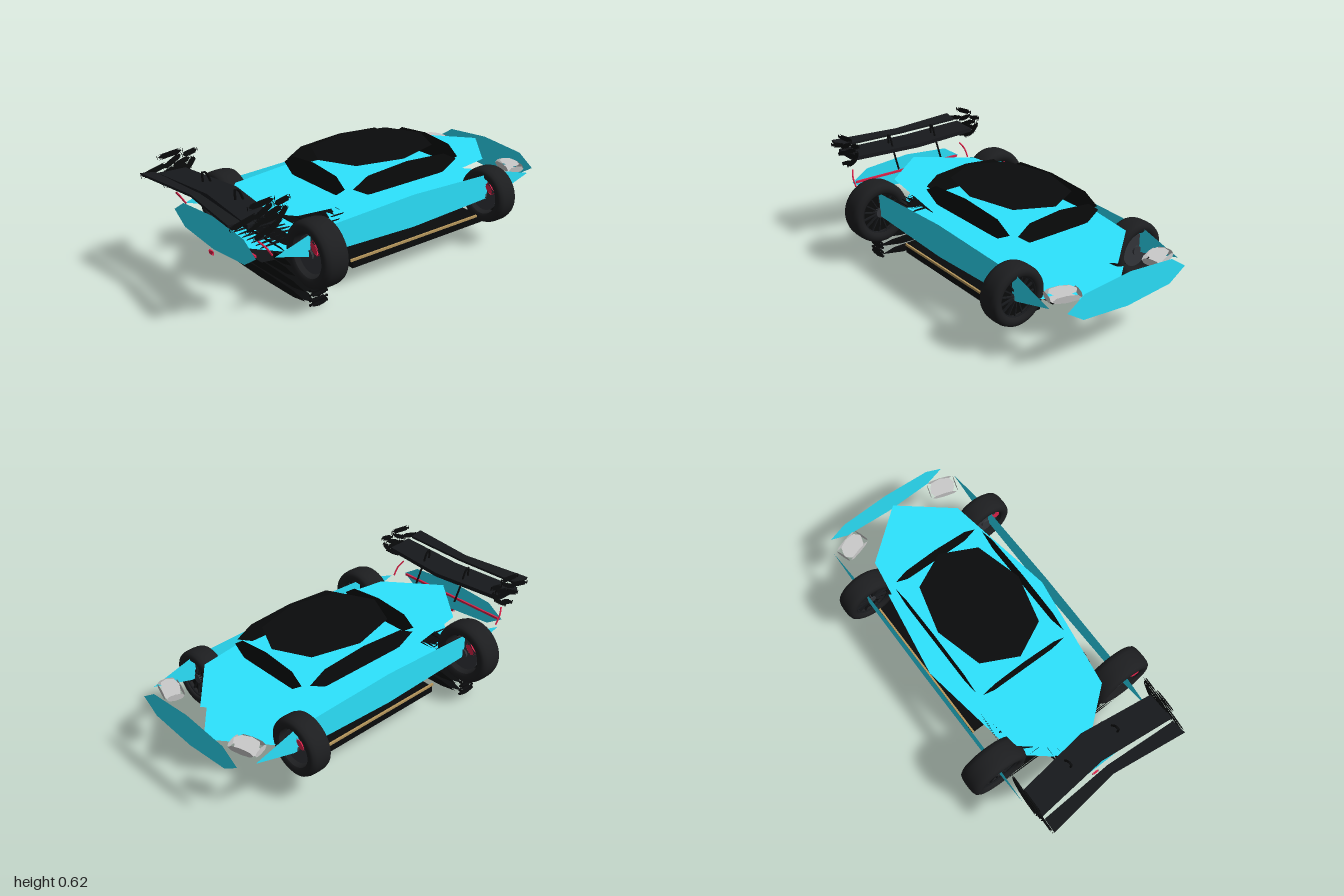
import * as THREE from 'three';

const mat = (color) => new THREE.MeshStandardMaterial({ color, side: THREE.DoubleSide, flatShading: true });
const cyan = mat(0x2ce4ff), black = mat(0x0a0b0c), carbon = mat(0x17191c), gold = mat(0xb8985c);
const red = mat(0xe0224a), silver = mat(0xcccccc), steel = mat(0x34373c);
const rubber = new THREE.MeshStandardMaterial({ color: 0x1d1e20 });

// Octagon of radius 1 with slightly squared diagonals
const D = 0.735;
const octagon = new THREE.ShapeGeometry(new THREE.Shape([[1, 0], [D, D], [0, 1], [-D, D], [-1, 0], [-D, -D], [0, -1], [D, -D]]
  .map(([x, y]) => new THREE.Vector2(x, y))));
// Panels stand off a little further than their radius, leaving open gaps at the edges
const OUT = 1.092;

function add(parent, name, geometry, material, x = 0, y = 0, z = 0) {
  const m = new THREE.Mesh(geometry, material);
  m.name = name;
  m.position.set(x, y, z);
  parent.add(m);
  return m;
}

// Six separate octagonal panels arranged as a box; h = panel radii
function panelBox(parent, name, material, [x, y, z], [hx, hy, hz]) {
  const g = new THREE.Group();
  g.name = name;
  g.position.set(x, y, z);
  for (const s of [-OUT, OUT]) {
    add(g, name + 'End', octagon, material, 0, 0, s * hz).scale.set(hx, hy, 1);
    const side = add(g, name + 'Side', octagon, material, s * hx, 0, 0);
    side.rotation.y = Math.PI / 2;
    side.scale.set(hz, hy, 1);
    const flat = add(g, name + 'Face', octagon, material, 0, s * hy, 0);
    flat.rotation.x = -Math.PI / 2;
    flat.scale.set(hx, hz, 1);
  }
  parent.add(g);
  return g;
}

// Wheel with its axle along z; outward gives the sign of z its face looks to
function wheel(parent, name, r, w, x, y, z, outward) {
  const g = new THREE.Group();
  g.name = name;
  g.position.set(x, y, z);
  const profile = [[0.66, -0.42], [0.74, -0.5], [0.86, -0.5], [0.95, -0.43], [0.99, -0.28], [1, -0.1],
    [1, 0.1], [0.99, 0.28], [0.95, 0.43], [0.86, 0.5], [0.74, 0.5], [0.66, 0.42], [0.66, -0.42]]
    .map(([a, b]) => new THREE.Vector2(a * r, b * w));
  add(g, 'tyre', new THREE.LatheGeometry(profile, 48), rubber).rotation.x = Math.PI / 2;
  add(g, 'rim', new THREE.TorusGeometry(r * 0.66, r * 0.035, 8, 40), carbon, 0, 0, w * 0.35);
  add(g, 'rimFace', new THREE.CircleGeometry(r * 0.66, 40), black, 0, 0, w * 0.2);
  for (let i = 0; i < 15; i++) {
    const spoke = new THREE.Group();
    spoke.rotation.z = i * Math.PI * 2 / 15;
    add(spoke, 'spoke', new THREE.BoxGeometry(r * 0.5, r * 0.035, w * 0.1), carbon, r * 0.41, 0, w * 0.27);
    g.add(spoke);
  }
  add(g, 'hub', new THREE.CylinderGeometry(r * 0.16, r * 0.16, w * 0.7, 16), steel).rotation.x = Math.PI / 2;
  add(g, 'brakeDisc', new THREE.CylinderGeometry(r * 0.56, r * 0.56, w * 0.1, 32), steel, 0, 0, -w * 0.22).rotation.x = Math.PI / 2;
  const caliper = panelBox(g, 'caliper', red, [-r * 0.36, r * 0.36, -w * 0.35], [r * 0.19, r * 0.11, w * 0.1]);
  caliper.rotation.z = Math.PI / 4;
  g.rotation.y = outward > 0 ? 0 : Math.PI;
  parent.add(g);
}

// Swept chevron plate: centre z range, outer z range, top height at the back, thickness, tilt
function chevron(parent, name, half, c0, c1, o0, o1, y, t, tilt) {
  const s = new THREE.Shape([[0, c0], [half - 0.005, o0], [half, o1], [0, c1], [-half, o1], [-half + 0.005, o0]]
    .map(([x, z]) => new THREE.Vector2(x, z)));
  const geo = new THREE.ExtrudeGeometry(s, { depth: t, bevelEnabled: false });
  geo.rotateX(Math.PI / 2);
  // Outer ends droop slightly and the leading edge sits lower
  const p = geo.attributes.position;
  for (let i = 0; i < p.count; i++) p.setY(i, p.getY(i) - Math.abs(p.getX(i)) * 0.02 + (p.getZ(i) - c1) * tilt);
  geo.computeVertexNormals();
  add(parent, name, geo, carbon, 0, y, 0);
}

export function createModel() {
  const car = new THREE.Group();
  car.name = 'car';

  // Hull and cabin
  panelBox(car, 'body', cyan, [0, 0.325, -0.077], [0.37, 0.088, 0.845]);
  panelBox(car, 'cabin', black, [0, 0.473, -0.135], [0.255, 0.068, 0.35]);

  // Wheels
  for (const s of [-1, 1]) {
    const side = s > 0 ? 'left' : 'right';
    wheel(car, side + 'WheelWingEnd', 0.17, 0.14, s * 0.402, 0.277, 0.53, -s);
    wheel(car, side + 'WheelNoseEnd', 0.153, 0.122, s * 0.383, 0.27, -0.636, -s);
  }

  // Floor slabs and side strips
  add(car, 'floorCentre', new THREE.BoxGeometry(0.24, 0.03, 0.92), black, 0, 0.125, -0.16);
  for (const s of [-1, 1]) {
    add(car, 'floorSide', new THREE.BoxGeometry(0.18, 0.035, 0.9), black, s * 0.28, 0.123, -0.16);
    add(car, 'sideStrip', new THREE.BoxGeometry(0.01, 0.012, 0.94), gold, s * 0.364, 0.147, -0.17);
  }

  // Stacked diffuser blades with upright fins between them
  for (const [y, h] of [[0.0257, 0.38], [0.078, 0.38], [0.13, 0.3], [0.175, 0.28], [0.222, 0.25]])
    panelBox(car, 'diffuserBlade', black, [0, y, 0.53], [h, 0.0235, 0.05]);
  for (let i = -3; i <= 3; i++) {
    const fin = add(car, 'diffuserFin', octagon, carbon, i * 0.04, 0.195, 0.53);
    fin.rotation.y = Math.PI / 2;
    fin.scale.set(0.17, 0.055, 1);
  }
  // Small fins at the ends of the lower blades
  for (const y of [0.028, 0.08]) for (const s of [-1, 1]) for (const d of [-0.012, 0.012])
    panelBox(car, 'bladeEndFin', black, [s * 0.408, y + d, 0.53], [0.012, 0.007, 0.045]).rotation.z = s * 0.5;

  // Engine slats
  for (let i = 0; i < 4; i++)
    panelBox(car, 'engineSlat', black, [0, 0.385 - i * 0.025, 0.34 + i * 0.025], [0.285, 0.004, 0.045]);

  // Headlights
  for (const s of [-1, 1])
    panelBox(car, 'headlight', silver, [s * 0.3, 0.348, -0.888], [0.07, 0.018, 0.045]).rotation.y = -s * 0.3;

  // Wing and its struts
  chevron(car, 'wingMain', 0.408, 0.7, 0.865, 0.752, 0.905, 0.529, 0.022, 0.03);
  chevron(car, 'wingFlap', 0.4, 0.9, 0.95, 0.922, 1, 0.547, 0.012, 0.15);
  for (const s of [-1, 1]) {
    const strut = new THREE.CatmullRomCurve3([[0.4, 0.7], [0.5, 0.75], [0.57, 0.78], [0.58, 0.8], [0.53, 0.8]]
      .map(([y, z]) => new THREE.Vector3(s * 0.145, y, z)));
    add(car, 'wingStrut', new THREE.TubeGeometry(strut, 16, 0.006, 6), black);

    // Wing end louvres: z, y, half length, tilt
    for (const [z, y, l, a] of [[0.92, 0.54, 0.07, 0.25], [0.83, 0.605, 0.065, 0.1], [0.82, 0.565, 0.055, 0.5],
      [0.79, 0.52, 0.065, 0.1], [0.77, 0.48, 0.055, 0.6], [0.72, 0.59, 0.04, 0.2], [0.72, 0.53, 0.04, 0.9],
      [0.83, 0.46, 0.045, 0.4], [0.77, 0.55, 0.05, 0.3], [0.86, 0.51, 0.055, 0.4]])
      panelBox(car, 'wingEndLouvre', black, [s * 0.405, y, z], [0.004, 0.012, l]).rotation.x = a;

    // Red light blades curving up at the corners
    const blade = new THREE.CatmullRomCurve3([[0.37, 0.41, 0.83], [0.387, 0.375, 0.8], [0.388, 0.33, 0.77]]
      .map(([x, y, z]) => new THREE.Vector3(s * x, y, z)));
    add(car, 'cornerLight', new THREE.TubeGeometry(blade, 12, 0.005, 6), red);
  }

  // Red light bar just inside the end panel, and the low centre lamp
  add(car, 'lightBar', new THREE.BoxGeometry(0.7, 0.012, 0.01), red, 0, 0.328, 0.835);
  panelBox(car, 'centreLamp', red, [0, 0.226, 0.86], [0.017, 0.01, 0.004]);

  return car;
}
